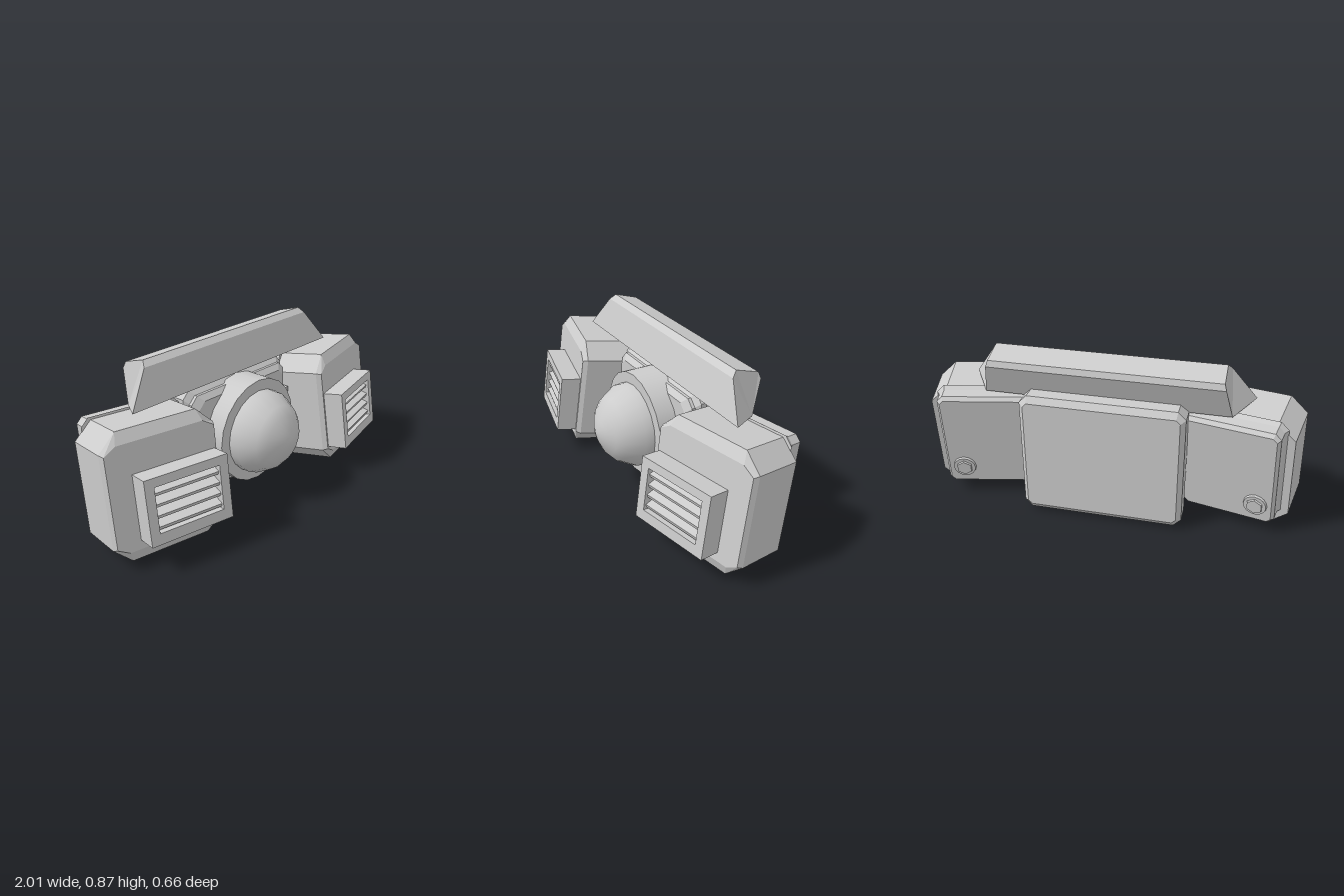
import * as THREE from 'three';

const grey = new THREE.MeshStandardMaterial({ color: 0xcccccc });
grey.name = 'grey';

function part(parent, name, geometry, x = 0, y = 0, z = 0) {
  const mesh = new THREE.Mesh(geometry, grey);
  mesh.name = name;
  mesh.position.set(x, y, z);
  parent.add(mesh);
  return mesh;
}

// Joins equal-length closed loops of Vector3 with flat faces and capped ends
function loft(loops) {
  const pos = [];
  const tri = (...points) => points.forEach((p) => pos.push(p.x, p.y, p.z));
  const n = loops[0].length;
  for (let s = 0; s < loops.length - 1; s++) {
    const a = loops[s], b = loops[s + 1];
    for (let i = 0; i < n; i++) {
      const j = (i + 1) % n;
      tri(a[i], a[j], b[j]);
      tri(a[i], b[j], b[i]);
    }
  }
  const first = loops[0], last = loops[loops.length - 1];
  for (let i = 1; i < n - 1; i++) {
    tri(first[0], first[i + 1], first[i]);
    tri(last[0], last[i], last[i + 1]);
  }
  const g = new THREE.BufferGeometry();
  g.setAttribute('position', new THREE.Float32BufferAttribute(pos, 3));
  g.computeVertexNormals();
  return g;
}

// Block with cut corners; sections are [width, height, cutX, cutY, z] from back to front
function block(sections) {
  return loft(sections.map(([w, h, cx, cy, z]) => {
    const x = w / 2, y = h / 2;
    return [
      [-x + cx, -y], [x - cx, -y], [x, -y + cy], [x, y - cy],
      [x - cx, y], [-x + cx, y], [-x, y - cy], [-x, -y + cy],
    ].map(([px, py]) => new THREE.Vector3(px, py, z));
  }));
}

function rectangle(Type, w, h, cy = 0) {
  return new Type([
    new THREE.Vector2(-w / 2, cy - h / 2), new THREE.Vector2(w / 2, cy - h / 2),
    new THREE.Vector2(w / 2, cy + h / 2), new THREE.Vector2(-w / 2, cy + h / 2),
  ]);
}

// Side pod, turned outward and tipped upward
function createPod(side) {
  const pod = new THREE.Group();
  pod.name = side > 0 ? 'leftPod' : 'rightPod';
  pod.position.set(0.682 * side, 0.335, 0);
  pod.rotation.order = 'YXZ';
  pod.rotation.set(-0.14, 0.21 * side, 0);

  part(pod, 'podBody', block([
    [0.594, 0.635, 0.09, 0.085, -0.135],
    [0.594, 0.635, 0.09, 0.085, 0.118],
    [0.57, 0.52, 0.06, 0.035, 0.145],
  ]));

  // Rear lid with bolt
  part(pod, 'rearLid', block([
    [0.46, 0.53, 0.02, 0.02, -0.235], [0.49, 0.565, 0.03, 0.03, -0.215],
    [0.49, 0.565, 0.03, 0.03, -0.155], [0.52, 0.59, 0.04, 0.04, -0.13],
  ]), 0, 0.035, 0);
  const bolt = new THREE.Group();
  bolt.name = 'lidBolt';
  bolt.position.set(0.148 * side, -0.13, -0.235);
  bolt.rotation.x = -Math.PI / 2;
  pod.add(bolt);
  part(bolt, 'washer', new THREE.CylinderGeometry(0.058, 0.062, 0.018, 16), 0, 0.004, 0);
  const head = new THREE.CylinderGeometry(0.042, 0.044, 0.012, 6).toNonIndexed();
  head.computeVertexNormals();
  part(bolt, 'hexHead', head, 0, 0.018, 0);

  // Vent frame with slanted slats
  const vent = new THREE.Group();
  vent.name = 'vent';
  vent.position.set(-0.055 * side, -0.053, 0.135);
  pod.add(vent);
  const frame = rectangle(THREE.Shape, 0.44, 0.325);
  frame.holes.push(rectangle(THREE.Path, 0.345, 0.225, 0.005));
  part(vent, 'ventFrame', new THREE.ExtrudeGeometry(frame, { depth: 0.118, bevelEnabled: false }));
  for (let i = 0; i < 4; i++) {
    const slat = part(vent, 'ventSlat', new THREE.BoxGeometry(0.345, 0.018, 0.06), 0, -0.078 + i * 0.055, 0.075);
    slat.rotation.x = 0.4;
  }
  return pod;
}

export function createModel() {
  const model = new THREE.Group();
  model.name = 'sensorUnit';

  model.add(createPod(1), createPod(-1));

  // Centre body and rear cover
  part(model, 'rearCover', block([
    [0.79, 0.6, 0.02, 0.02, -0.325], [0.84, 0.665, 0.04, 0.04, -0.3],
    [0.84, 0.665, 0.04, 0.04, -0.2], [0.78, 0.58, 0.04, 0.04, -0.16],
  ]), 0, 0.347, 0);
  part(model, 'centreBody', block([
    [0.76, 0.63, 0.04, 0.04, -0.2], [0.76, 0.63, 0.04, 0.04, -0.09], [0.7, 0.57, 0.04, 0.04, -0.06],
  ]), 0, 0.335, 0);
  part(model, 'centrePanel', block([
    [0.72, 0.52, 0.04, 0.04, -0.1], [0.72, 0.52, 0.04, 0.04, -0.05], [0.66, 0.46, 0.04, 0.04, -0.025],
  ]), 0, 0.365, 0);
  part(model, 'crossRail', new THREE.BoxGeometry(0.72, 0.03, 0.04), 0, 0.465, -0.03);

  // Lens ring and dome
  const ring = part(model, 'lensRing', new THREE.CylinderGeometry(0.285, 0.285, 0.16, 20), 0, 0.365, 0);
  ring.rotation.x = Math.PI / 2;
  const profile = [[0.228, 0.06], [0.224, 0.13], [0.175, 0.215], [0.13, 0.255], [0.07, 0.283], [0.03, 0.296], [0, 0.298]];
  const dome = part(model, 'lensDome', new THREE.LatheGeometry(profile.map(([r, h]) => new THREE.Vector2(r, h)), 20), 0, 0.365, 0);
  dome.rotation.x = Math.PI / 2;

  // Tilted top bar: corners are [half length, y, z]
  const corners = [
    [0.735, 0.67, -0.045], [0.605, 0.845, -0.1], [0.585, 0.872, -0.13],
    [0.585, 0.832, -0.26], [0.595, 0.8, -0.27], [0.63, 0.635, -0.207],
  ];
  const end = (s) => corners.map(([x, y, z]) => new THREE.Vector3(s * x, y, z)).reverse();
  part(model, 'topBar', loft([end(-1), end(1)]));

  return model;
}
